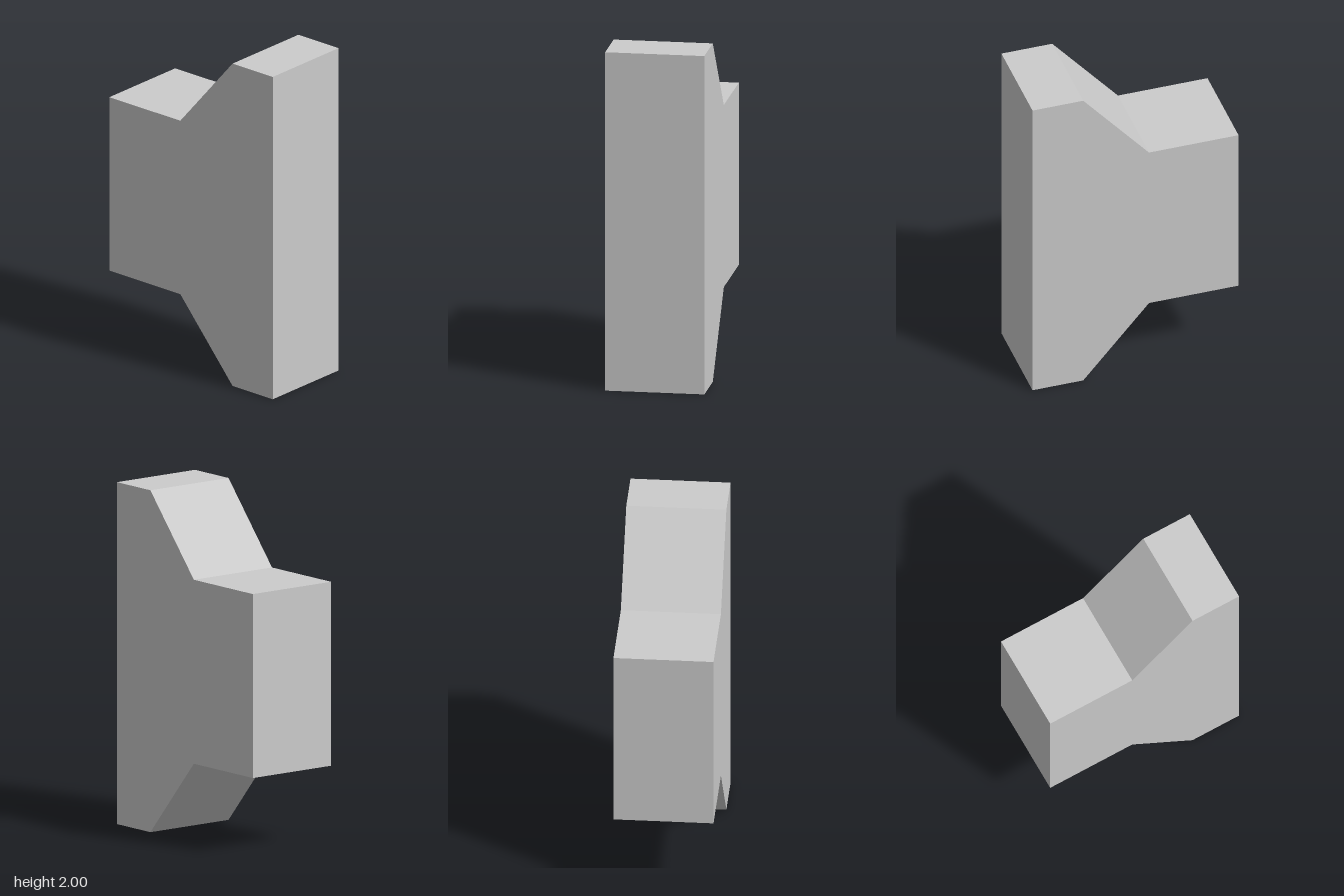
import * as THREE from 'three';

export function createModel() {
  const group = new THREE.Group();
  group.name = 'flaredBlock';

  // Upper half of the profile (x, height above the mid-line), mirrored below
  const mid = 1, depth = 0.576;
  const upper = [[0.62, 1], [0.314, 1], [-0.083, 0.538], [-0.623, 0.538]];
  const lower = upper.map(([x, h]) => [x, -h]).reverse();
  const outline = [...upper, ...lower].map(([x, h]) => new THREE.Vector2(x, mid + h));

  // Solid block: narrow stem flaring out to a tall flange
  const geometry = new THREE.ExtrudeGeometry(new THREE.Shape(outline), { depth, bevelEnabled: false });
  geometry.translate(0, 0, -depth / 2);

  const material = new THREE.MeshStandardMaterial({ color: 0xcccccc, flatShading: true });
  const block = new THREE.Mesh(geometry, material);
  block.name = 'stemAndFlange';
  group.add(block);
  return group;
}
